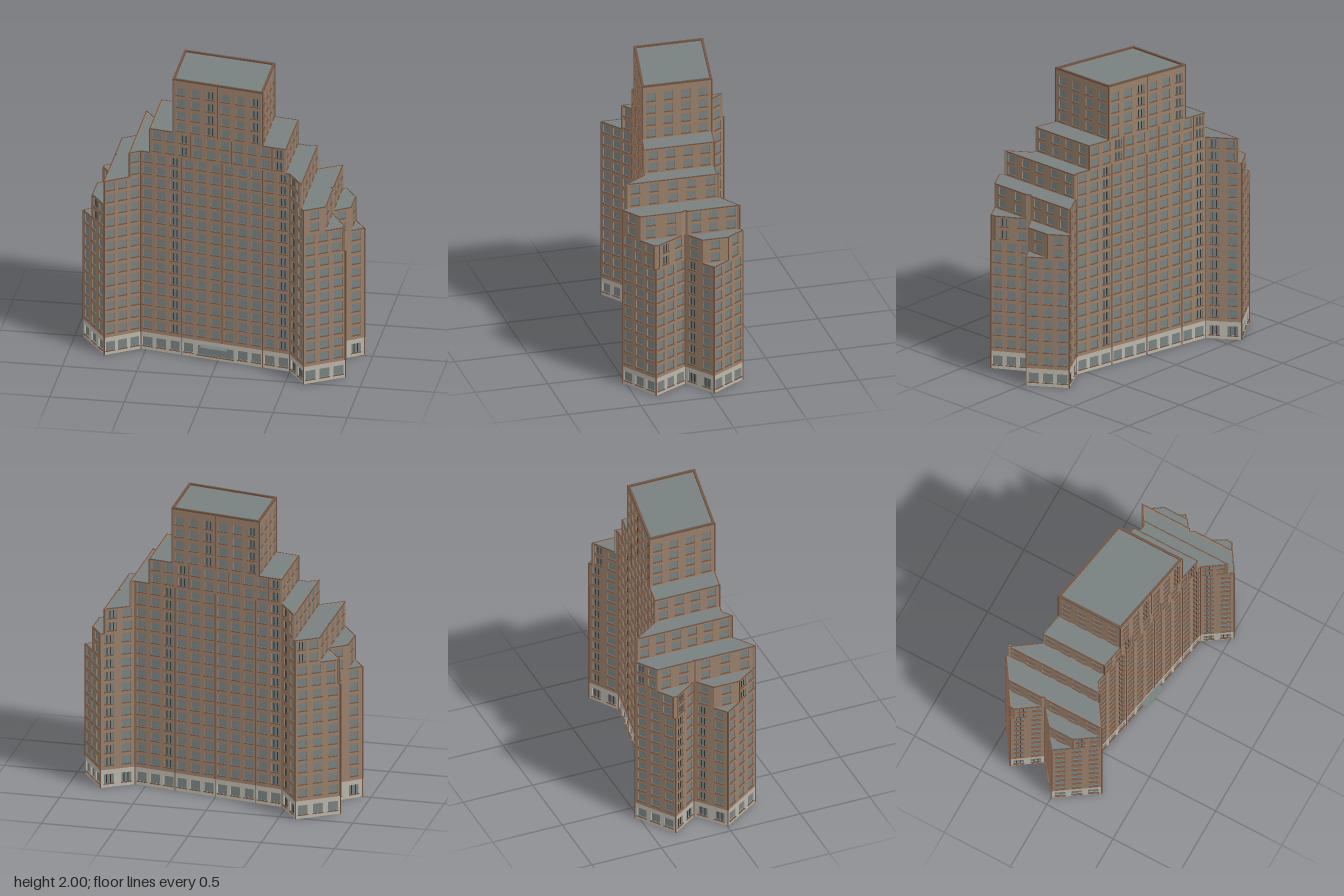
import * as THREE from 'three';
import { mergeGeometries } from 'three/addons/utils/BufferGeometryUtils.js';

const mat = (name, color) => {
  const m = new THREE.MeshStandardMaterial({ color });
  m.name = name;
  return m;
};

// Footprint as [x, z], running left to right along the front: a slab with two splayed wings at each end
const PLAN = [
  [-0.535, 0.133], [0.5, 0.335], [0.624, 0.52], [0.878, 0.36], [0.741, 0.122],
  [0.942, -0.02], [0.782, -0.262], [0.575, -0.135], [-0.475, -0.322], [-0.614, -0.523],
  [-0.878, -0.345], [-0.748, -0.157], [-0.942, 0.005], [-0.755, 0.28],
];

const FLOOR = 0.0865, FIRST = 0.183, BASE = 0.125, REVEAL = 0.012, ENTRANCE = 0.527;

// Setbacks: [half width in x, bottom, top]
const TIERS = [
  [1, BASE, 0.92], [0.863, 0.92, 1.09], [0.758, 1.09, 1.263],
  [0.605, 1.263, 1.437], [0.473, 1.437, 1.61], [0.312, 1.61, 2],
];

// Cut the plan at x = side * c, keeping the inner part
function clip(pts, side, c) {
  const out = [];
  pts.forEach((a, i) => {
    const b = pts[(i + 1) % pts.length];
    const da = c - side * a[0], db = c - side * b[0];
    if (da >= 0) out.push(a);
    if (da * db < 0) {
      const t = da / (da - db);
      out.push([side * c, a[1] + (b[1] - a[1]) * t]);
    }
  });
  return out;
}

// Horizontal slab over a polygon, used for the floor and the roofs
function slab(pts, y0, y1) {
  const shape = new THREE.Shape(pts.map(([x, z]) => new THREE.Vector2(x, -z)));
  return new THREE.ExtrudeGeometry(shape, { depth: y1 - y0, bevelEnabled: false })
    .rotateX(-Math.PI / 2).translate(0, y0, 0);
}

const rect = (path, x0, y0, x1, y1) =>
  path.moveTo(x0, y0).lineTo(x1, y0).lineTo(x1, y1).lineTo(x0, y1).closePath();

// Walls of a polygon, each with helpers working in distance along, height and offset outward
function walls(pts) {
  return pts.map((a, i) => {
    const b = pts[(i + 1) % pts.length];
    const len = Math.hypot(b[0] - a[0], b[1] - a[1]);
    const dx = (b[0] - a[0]) / len, dz = (b[1] - a[1]) / len;
    const m = new THREE.Matrix4().makeBasis(
      new THREE.Vector3(dx, 0, dz), new THREE.Vector3(0, 1, 0), new THREE.Vector3(-dz, 0, dx),
    ).setPosition(a[0], 0, a[1]);
    const box = (s, y, out, w, h, d) =>
      new THREE.BoxGeometry(w, h, d).translate(s, y, out).applyMatrix4(m);
    // Wall panel pierced by its window openings
    const panel = (y0, y1, openings) => {
      const shape = rect(new THREE.Shape(), 0, y0, len, y1);
      for (const { s, y, w, h } of openings) {
        shape.holes.push(rect(new THREE.Path(), s - w / 2, y - h / 2, s + w / 2, y + h / 2));
      }
      return new THREE.ExtrudeGeometry(shape, { depth: REVEAL, bevelEnabled: false })
        .translate(0, 0, -REVEAL).applyMatrix4(m);
    };
    return { a, b, len, box, panel, setback: Math.abs(dx) < 0.01 };
  });
}

// Stretches [start, end] of a wall that lie outside |x| = c
function outside({ a, b, len }, c) {
  const spans = [];
  for (const side of [-1, 1]) {
    const fa = side * a[0] - c, fb = side * b[0] - c;
    if (fa <= 0 && fb <= 0) continue;
    const cross = (fa / (fa - fb)) * len;
    spans.push([fa < 0 ? cross : 0, fb < 0 ? cross : len]);
  }
  return spans;
}

const bays = (len, setback) => Math.max(1, Math.floor(len / (setback ? 0.115 : 0.0955) + 0.25));

export function createModel() {
  const group = new THREE.Group();
  group.name = 'steppedTower';

  const brick = mat('brick', 0x997f6a);
  const stone = mat('paleStone', 0xbab6ab);
  const roof = mat('roofGrey', 0x778180);
  const glass = mat('windowGlass', 0x778281);
  const trim = mat('brownTrim', 0x735440);
  const dark = mat('darkFrame', 0x3d3731);

  const add = (name, geo, material) => {
    const mesh = new THREE.Mesh(geo, material);
    mesh.name = name;
    group.add(mesh);
  };
  const parts = { panes: [], mullions: [], sills: [], pilasters: [], copings: [] };

  // Recessed pane, projecting sill and, on some bays, two mullions
  function fillOpening(wall, { s, y, w, h, split }) {
    parts.panes.push(wall.box(s, y, -REVEAL, w + 0.002, h + 0.002, 0.006));
    parts.sills.push(wall.box(s, y - h / 2 - 0.002, 0, w + 0.006, 0.005, 0.012));
    if (split) {
      for (const k of [-1, 1]) parts.mullions.push(wall.box(s + k * w * 0.2, y, 0.004 - REVEAL, 0.005, h, 0.008));
    }
  }

  // Stone ground storey with a wide entrance in the middle of the front
  add('groundFloor', slab(PLAN, 0, 0.004), [roof, stone]);
  const groundWalls = walls(PLAN);
  add('groundStorey', mergeGeometries(groundWalls.map((wall, j) => {
    const n = bays(wall.len, false), pitch = wall.len / n;
    const openings = [];
    for (let i = 0; i < n; i++) {
      const s = (i + 0.5) * pitch;
      if (j === 0 && Math.abs(s - ENTRANCE) < 0.13) continue;
      openings.push({ s, y: 0.06, w: Math.min(0.07, pitch * 0.72), h: 0.066, split: n === 2 });
    }
    if (j === 0) openings.push({ s: ENTRANCE, y: 0.056, w: 0.26, h: 0.07 });
    openings.forEach((o) => fillOpening(wall, o));
    for (let i = 0; i <= n; i += 3) {
      if (j === 0 && i > 3 && i < 8) continue;
      parts.pilasters.push(wall.box(i * pitch, BASE / 2, 0, 0.004, BASE, 0.008));
    }
    return wall.panel(0, BASE, openings);
  })), stone);
  add('entranceCanopy', groundWalls[0].box(ENTRANCE, 0.095, 0.025, 0.185, 0.008, 0.05), roof);

  // Brick tiers, each narrower than the one below
  TIERS.forEach(([c, y0, y1], t) => {
    const pts = clip(clip(PLAN, 1, c), -1, c);
    const top = t === TIERS.length - 1;
    const roofY = top ? y1 - 0.012 : y1;
    add('roof' + (t + 1), slab(pts, roofY - 0.006, roofY), [roof, brick]);

    add('tierWalls' + (t + 1), mergeGeometries(walls(pts).map((wall) => {
      // Coping around the exposed roof edge
      const cw = top ? 0.015 : 0.007, ch = top ? 0.012 : 0.006;
      const copingTop = top ? y1 : y1 + 0.002;
      for (const [s0, s1] of outside(wall, top ? 0 : TIERS[t + 1][0])) {
        parts.copings.push(wall.box((s0 + s1) / 2, copingTop - ch / 2, 0.002 - cw / 2, s1 - s0, ch, cw));
      }
      const openings = [];
      if (wall.len > 0.045) {
        const n = bays(wall.len, wall.setback), pitch = wall.len / n;
        const w = Math.min(0.062, pitch * 0.66);
        for (let k = 0; k <= 20; k++) {
          const y = FIRST + k * FLOOR;
          if (y < y0 || y > y1) continue;
          for (let i = 0; i < n; i++) {
            const split = !wall.setback && (n > 5 ? i === 2 || i === n - 1 : n === 2 && i === 0);
            openings.push({ s: (i + 0.5) * pitch, y, w, h: 0.057, split });
          }
        }
        openings.forEach((o) => fillOpening(wall, o));
        // Thin vertical strips between groups of bays
        for (let i = 0; i <= n && !wall.setback; i += 3) {
          parts.pilasters.push(wall.box(i * pitch, (y0 + y1) / 2, 0, 0.005, y1 - y0 - 0.002, 0.01));
        }
      }
      return wall.panel(y0, top ? y1 - 0.002 : y1, openings);
    })), brick);
  });

  add('windowPanes', mergeGeometries(parts.panes), glass);
  add('windowMullions', mergeGeometries(parts.mullions), dark);
  add('windowSills', mergeGeometries(parts.sills), trim);
  add('pilasters', mergeGeometries(parts.pilasters), trim);
  add('copings', mergeGeometries(parts.copings), trim);

  return group;
}
